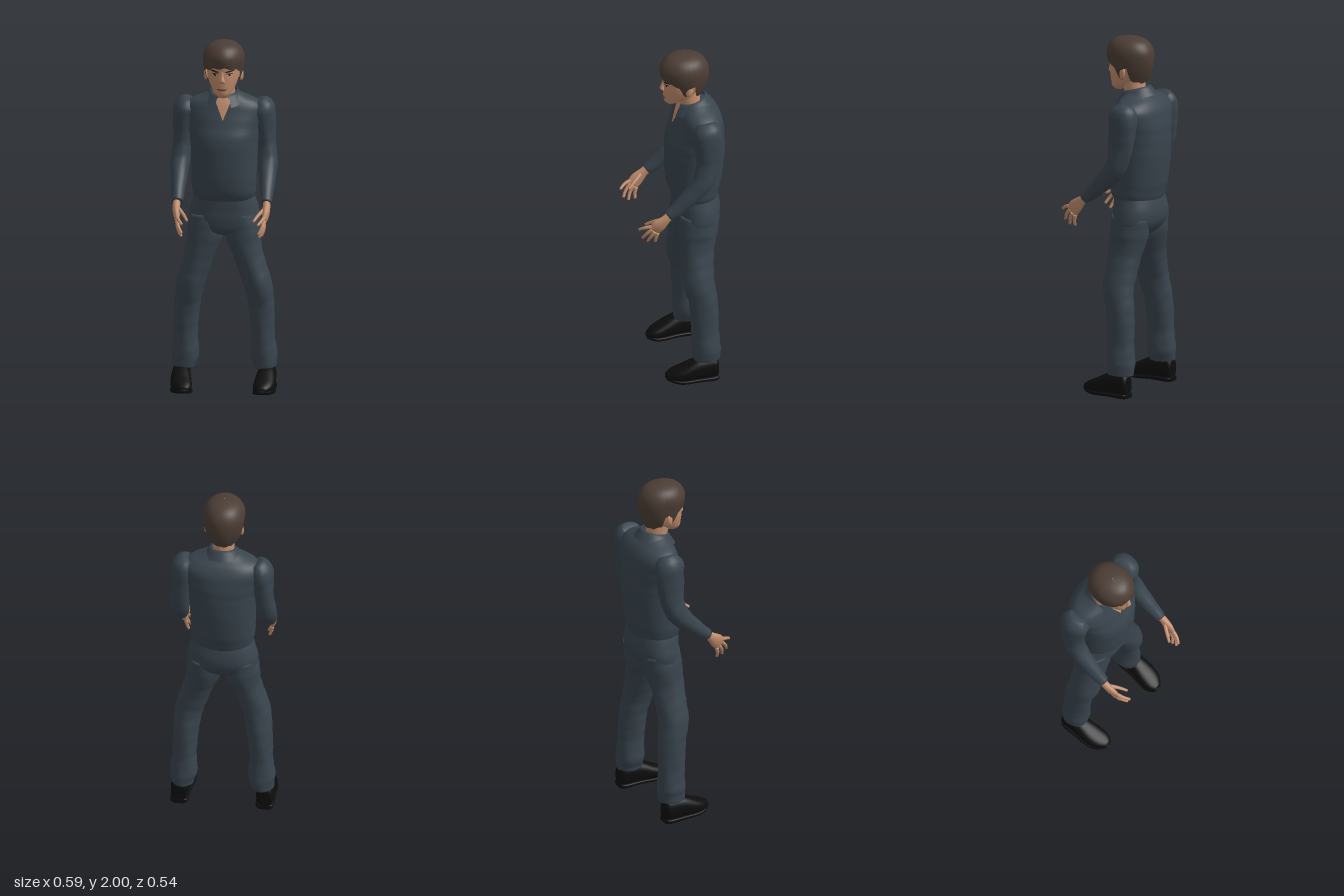
import * as THREE from 'three';

const mat = (name, color) => Object.assign(new THREE.MeshStandardMaterial({ color }), { name });
const UP = new THREE.Vector3(0, 1, 0);
const FORWARD = new THREE.Vector3(0, 0, 1);

// Grid surface from a point function f(u, v); "closed" joins the u ends
function surface(nu, nv, f, closed) {
  const pos = [], idx = [], cols = closed ? nu : nu + 1;
  for (let i = 0; i <= nv; i++)
    for (let j = 0; j < cols; j++) pos.push(...f(j / nu, i / nv));
  for (let i = 0; i < nv; i++)
    for (let j = 0; j < nu; j++) {
      const k = (j + 1) % cols, a = i * cols, b = a + cols;
      idx.push(a + j, a + k, b + k, a + j, b + k, b + j);
    }
  const g = new THREE.BufferGeometry();
  g.setAttribute('position', new THREE.Float32BufferAttribute(pos, 3));
  g.setIndex(idx);
  g.computeVertexNormals();
  return g;
}

// Smoothly resample sections [x, y, z, sideRadius, otherRadius]
function resample(rows, steps = 4) {
  const out = [], n = rows.length - 1;
  const at = i => rows[Math.min(n, Math.max(0, i))];
  for (let s = 0; s <= n * steps; s++) {
    const i = Math.min(n - 1, Math.floor(s / steps)), t = s / steps - i;
    out.push(rows[0].map((_, c) => {
      const [p, a, b, q] = [at(i - 1)[c], at(i)[c], at(i + 1)[c], at(i + 2)[c]];
      return a + 0.5 * t * (b - p + t * (2 * p - 5 * a + 4 * b - q + t * (3 * (a - b) + q - p)));
    }));
  }
  return out;
}

// Closed loft through the sections; power squares the ring, folds adds cloth ripples
function loft(rows, { axis, power = 2, folds = 0, seg = 32 } = {}) {
  const r = resample(rows), n = r.length - 1;
  const P = i => new THREE.Vector3(...r[Math.min(n, Math.max(0, i))].slice(0, 3));
  const frames = r.map((_, i) => {
    const T = axis ? axis.clone() : P(i + 1).sub(P(i - 1)).normalize();
    const S = new THREE.Vector3(1, 0, 0).addScaledVector(T, -T.x).normalize();
    return { c: P(i), S, B: T.clone().cross(S) };
  });
  const round = w => Math.sign(w) * Math.abs(w) ** (2 / power);
  return surface(seg, n + 2, (u, v) => {
    const k = Math.round(v * (n + 2)), i = Math.min(n, Math.max(0, k - 1));
    const end = k === 0 || k === n + 2 ? 0 : 1, a = u * Math.PI * 2, { c, S, B } = frames[i];
    const m = end * (1 + folds * Math.sin(3 * a + c.y * 31) * Math.sin(2 * a - c.y * 47));
    return c.clone().addScaledVector(S, round(Math.cos(a)) * r[i][3] * m)
      .addScaledVector(B, round(Math.sin(a)) * r[i][4] * m).toArray();
  }, true);
}

// Interpolated section of an upright loft at height y
function sectionAt(dense, y) {
  let i = 0;
  while (i < dense.length - 2 && dense[i + 1][1] < y) i++;
  const a = dense[i], b = dense[i + 1];
  const t = THREE.MathUtils.clamp((y - a[1]) / (b[1] - a[1]), 0, 1);
  return a.map((w, c) => w + (b[c] - w) * t);
}

// Thin painted plate lying on the front of an upright loft
function plate(dense, cx, cy, hw, hh, width, tilt = 0, lift = 0.003) {
  return surface(10, 10, (u, v) => {
    const x = cx + (u * 2 - 1) * hw * width(v);
    const y = cy + (v * 2 - 1) * hh + tilt * (x - cx);
    const s = sectionAt(dense, y);
    return [x, y, s[2] + s[4] * Math.sqrt(Math.max(0, 1 - (x / s[3]) ** 2)) + lift];
  });
}

export function createModel() {
  const model = new THREE.Group();
  model.name = 'standingMan';
  const cloth = mat('slate cloth', 0x39444d), skin = mat('skin', 0xc08c6c);
  const hairMat = mat('brown hair', 0x4b3d34), black = mat('black leather', 0x0d0d0e);
  const white = mat('eye white', 0xb9aaa0), lip = mat('lips', 0x9c6652);
  const dark = mat('dark brow', 0x2a1f1a);
  hairMat.side = cloth.side = THREE.DoubleSide;
  const add = (name, geometry, material) => {
    const m = new THREE.Mesh(geometry, material);
    m.name = name;
    model.add(m);
    return m;
  };

  // Shirt body
  const torso = [
    [0, 1.095, -0.098, 0.165, 0.125], [0, 1.13, -0.095, 0.176, 0.138], [0, 1.2, -0.095, 0.18, 0.154],
    [0, 1.35, -0.1, 0.185, 0.165], [0, 1.44, -0.102, 0.192, 0.163], [0, 1.52, -0.114, 0.205, 0.147],
    [0, 1.6, -0.12, 0.222, 0.125], [0, 1.645, -0.115, 0.19, 0.104], [0, 1.675, -0.105, 0.125, 0.08],
    [0, 1.7, -0.1, 0.075, 0.06]];
  const torsoDense = resample(torso);
  add('shirtBody', loft(torso, { axis: UP, power: 2.15, folds: 0.012, seg: 48 }), cloth);
  add('openNeckline', plate(torsoDense, 0, 1.615, 0.05, 0.06, v => v, 0, 0.008), skin);

  // Folded collar, open at the front
  add('collar', surface(40, 8, (u, v) => {
    const a = 0.42 + u * (Math.PI * 2 - 0.84), f = Math.cos(a);
    const fold = v < 0.5 ? 1 - v * 2 : v * 2 - 1;
    const r = v < 0.5 ? 0.072 : 0.072 + 0.04 * fold;
    const top = 1.712 - 0.02 * f;
    const y = top - fold * (v < 0.5 ? 0.05 : 0.05 + 0.018 * Math.max(0, f));
    return [Math.sin(a) * r, y, -0.085 + Math.cos(a) * (r + 0.002)];
  }), cloth);

  // Trousers seat
  add('trouserSeat', loft([
    [0, 0.895, -0.095, 0.08, 0.08], [0, 0.925, -0.097, 0.18, 0.108], [0, 0.98, -0.107, 0.198, 0.126],
    [0, 1.05, -0.107, 0.185, 0.127], [0, 1.12, -0.097, 0.163, 0.12]],
  { axis: UP, power: 2.2, folds: 0.008, seg: 40 }), cloth);

  // Neck and head
  add('neck', loft([[0, 1.6, -0.085, 0.06, 0.06], [0, 1.68, -0.075, 0.06, 0.06],
    [0, 1.79, -0.055, 0.062, 0.068]], { axis: UP }), skin);
  const head = [
    [0, 1.693, 0.03, 0.022, 0.025], [0, 1.712, 0.018, 0.044, 0.053], [0, 1.745, -0.015, 0.066, 0.09],
    [0, 1.79, -0.03, 0.084, 0.108], [0, 1.835, -0.035, 0.092, 0.112], [0, 1.88, -0.035, 0.094, 0.115],
    [0, 1.93, -0.035, 0.085, 0.105], [0, 1.965, -0.04, 0.055, 0.07]];
  const face = resample(head);
  add('head', loft(head, { axis: UP }), skin);
  add('nose', loft([[0, 1.778, 0.068, 0.01, 0.008], [0, 1.788, 0.078, 0.018, 0.015],
    [0, 1.8, 0.08, 0.014, 0.016], [0, 1.825, 0.075, 0.009, 0.011], [0, 1.85, 0.071, 0.008, 0.006]],
  { axis: UP, seg: 16 }), skin);

  // Mouth, eyes and brows
  const oval = v => Math.sqrt(Math.max(0, 1 - (v * 2 - 1) ** 2));
  add('mouth', plate(face, 0, 1.744, 0.03, 0.008, oval), lip);
  add('mouthLine', plate(face, 0, 1.745, 0.028, 0.0015, oval, 0, 0.0045), dark);
  for (const s of [1, -1]) {
    add('eyeWhite', plate(face, s * 0.041, 1.829, 0.017, 0.0065, oval), white);
    add('iris', plate(face, s * 0.041, 1.829, 0.0065, 0.0065, oval, 0, 0.0045), dark);
    add('upperEyelid', plate(face, s * 0.041, 1.836, 0.019, 0.0025, oval, 0, 0.005), dark);
    add('eyebrow', plate(face, s * 0.044, 1.85, 0.026, 0.005, oval, s * 0.18, 0.005), dark);
    const ear = add('ear', new THREE.SphereGeometry(1, 16, 12), skin);
    ear.scale.set(0.012, 0.033, 0.02);
    ear.position.set(s * 0.098, 1.805, -0.048);
    ear.rotation.set(-0.15, s * -0.25, 0);
  }

  // Hair cap with fringe, sideburns and nape
  const hairRows = resample([
    [0, 1.74, -0.055, 0.076, 0.085], [0, 1.8, -0.05, 0.099, 0.117], [0, 1.86, -0.046, 0.112, 0.134],
    [0, 1.92, -0.041, 0.115, 0.136], [0, 1.965, -0.04, 0.094, 0.11], [0, 1.99, -0.038, 0.055, 0.068],
    [0, 2.0, -0.035, 0.002, 0.002]]);
  const edge = [[0, 1.868], [30, 1.862], [52, 1.85], [66, 1.835], [72, 1.77], [86, 1.765],
    [90, 1.835], [104, 1.835], [110, 1.765], [140, 1.75], [181, 1.745]];
  const hairline = deg => {
    const i = edge.findIndex(e => e[0] > deg), [a, b] = [edge[i - 1], edge[i]];
    return a[1] + (b[1] - a[1]) * (deg - a[0]) / (b[0] - a[0]);
  };
  add('hair', surface(90, 24, (u, v) => {
    const a = u * Math.PI * 2, deg = Math.min(u, 1 - u) * 360;
    const low = hairline(Math.max(0, deg)) + 0.004 * Math.sin(a * 11);
    const y = low + (2 - low) * Math.sin(v * Math.PI / 2), s = sectionAt(hairRows, y);
    const m = 1 + 0.012 * Math.sin(a * 5 + y * 20) * (1 - v);
    return [Math.sin(a) * s[3] * m, y, s[2] + Math.cos(a) * s[4] * m];
  }, true), hairMat);

  // Limbs, mirrored
  for (const s of [1, -1]) {
    const side = s > 0 ? 'left' : 'right';
    const limb = (name, rows, material, options) =>
      add(side + name, loft(rows.map(([x, ...rest]) => [x * s, ...rest]), options), material);

    limb('Sleeve', [
      [0.19, 1.645, -0.12, 0.035, 0.05], [0.212, 1.6, -0.122, 0.068, 0.084], [0.225, 1.5, -0.125, 0.06, 0.077],
      [0.234, 1.4, -0.12, 0.051, 0.068], [0.243, 1.3, -0.088, 0.054, 0.062], [0.245, 1.22, -0.02, 0.046, 0.052],
      [0.246, 1.145, 0.06, 0.036, 0.04], [0.246, 1.108, 0.108, 0.03, 0.032]], cloth, { folds: 0.035 });

    limb('TrouserLeg', [
      [0.1, 1.0, -0.105, 0.09, 0.11], [0.104, 0.9, -0.097, 0.102, 0.11], [0.128, 0.8, -0.085, 0.084, 0.097],
      [0.158, 0.7, -0.08, 0.08, 0.09], [0.188, 0.6, -0.078, 0.078, 0.088], [0.203, 0.5, -0.098, 0.073, 0.081],
      [0.21, 0.4, -0.105, 0.069, 0.08], [0.214, 0.3, -0.108, 0.066, 0.077], [0.217, 0.2, -0.112, 0.077, 0.08],
      [0.222, 0.155, -0.114, 0.068, 0.078], [0.224, 0.125, -0.114, 0.064, 0.075]], cloth, { folds: 0.03 });

    limb('Shoe', [
      [0.238, 0.07, -0.174, 0.032, 0.045], [0.238, 0.075, -0.155, 0.046, 0.065], [0.237, 0.075, -0.08, 0.052, 0.066],
      [0.235, 0.068, -0.03, 0.056, 0.058], [0.23, 0.053, 0.03, 0.059, 0.043], [0.222, 0.042, 0.08, 0.05, 0.031],
      [0.216, 0.037, 0.114, 0.024, 0.016]], black, { axis: FORWARD, power: 2.4 });
    limb('Sole', [
      [0.238, 0.014, -0.174, 0.035, 0.014], [0.238, 0.014, -0.15, 0.05, 0.014], [0.237, 0.016, -0.06, 0.054, 0.012],
      [0.23, 0.016, 0.03, 0.062, 0.012], [0.222, 0.021, 0.08, 0.052, 0.012],
      [0.216, 0.028, 0.116, 0.024, 0.01]], black, { axis: FORWARD, power: 4 });

    // Hand with fanned fingers
    limb('Palm', [
      [0.247, 1.13, 0.08, 0.02, 0.024], [0.25, 1.093, 0.122, 0.021, 0.027], [0.247, 1.055, 0.163, 0.019, 0.04],
      [0.24, 1.025, 0.19, 0.012, 0.038]], skin, { seg: 20 });
    const fingers = {
      IndexFinger: [[0.242, 1.05, 0.203], [0.23, 1.04, 0.24], [0.21, 1.022, 0.268]],
      MiddleFinger: [[0.242, 1.033, 0.2], [0.232, 1.0, 0.23], [0.212, 0.965, 0.25]],
      RingFinger: [[0.241, 1.015, 0.187], [0.234, 0.977, 0.207], [0.215, 0.942, 0.22]],
      LittleFinger: [[0.24, 1.003, 0.17], [0.236, 0.97, 0.178], [0.225, 0.94, 0.18]],
      Thumb: [[0.24, 1.085, 0.145], [0.208, 1.06, 0.187], [0.184, 1.032, 0.225]],
    };
    for (const [name, pts] of Object.entries(fingers))
      limb(name, pts.map((p, i) => [...p, 0.0115 - i * 0.002, 0.0115 - i * 0.002]), skin, { seg: 12 });
  }
  return model;
}
